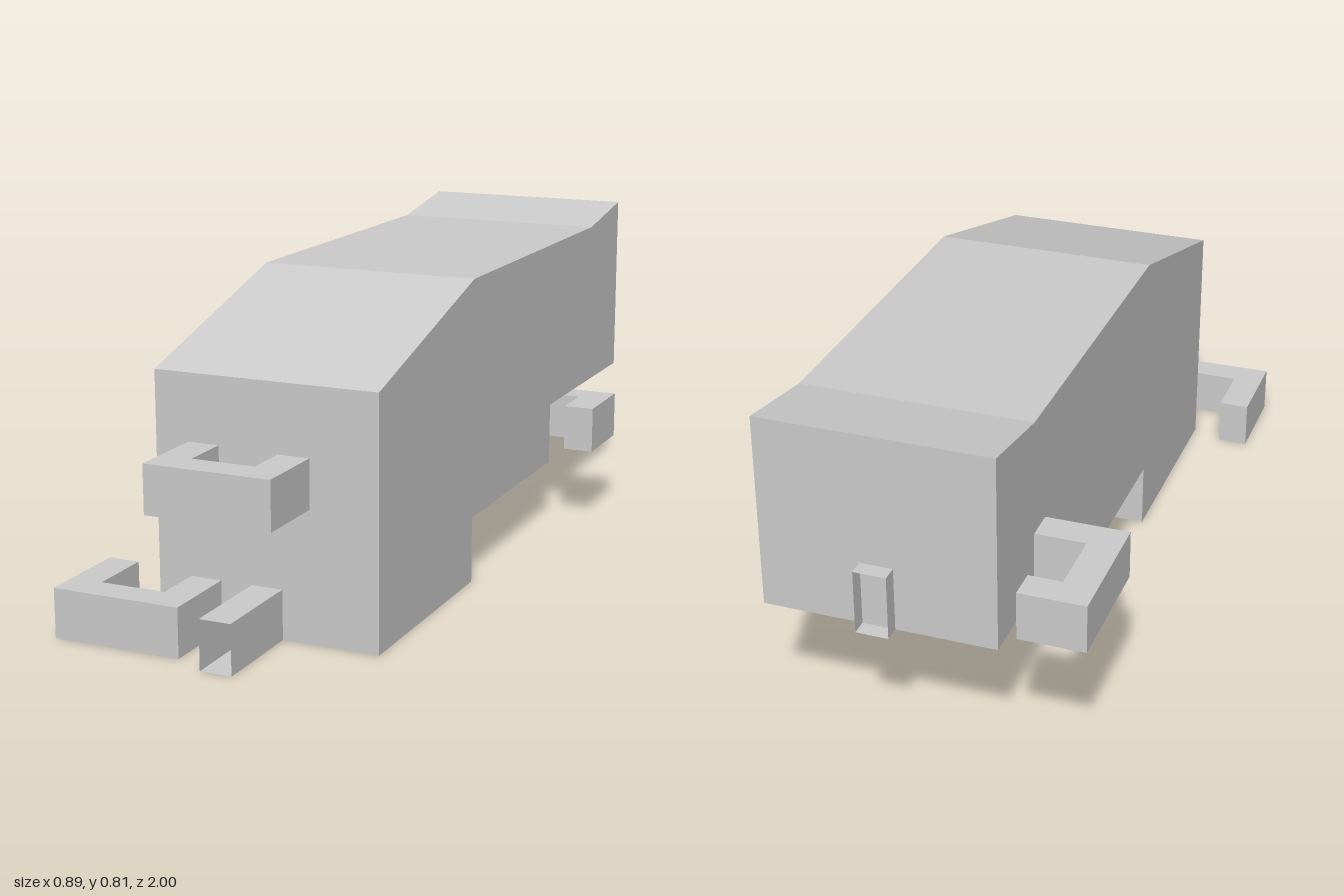
import * as THREE from 'three';

const material = new THREE.MeshStandardMaterial({ color: 0xcccccc, flatShading: true, side: THREE.DoubleSide });

function add(group, name, geometry) {
  const mesh = new THREE.Mesh(geometry, material);
  mesh.name = name;
  group.add(mesh);
  return mesh;
}

// Extrude an outline of [x, -z] points upward from y0 to y1
function slab(points, y0, y1, holes = []) {
  const shape = new THREE.Shape(points.map(p => new THREE.Vector2(p[0], -p[1])));
  const g = new THREE.ExtrudeGeometry(shape, { depth: y1 - y0, bevelEnabled: false });
  return g.rotateX(-Math.PI / 2).translate(0, y0, 0);
}

// Hook lying flat: an arm from the wall, a crossbar and a free tip.
// xArm and xTip are the outer edges; t is the bar thickness.
function hook(xArm, xTip, zWall, zBar, zTip, y0, y1, t = 0.08) {
  const sx = Math.sign(xArm - xTip) * t;
  const zi = zBar + Math.sign(zWall - zBar) * t;
  return slab([
    [xArm, zWall], [xArm, zBar], [xTip, zBar], [xTip, zTip],
    [xTip + sx, zTip], [xTip + sx, zi], [xArm - sx, zi], [xArm - sx, zWall]
  ], y0, y1);
}

// Four-walled socket, open at both ends along z
function socket(x0, x1, y0, y1, z0, z1) {
  const g = new THREE.CylinderGeometry(Math.SQRT1_2, Math.SQRT1_2, 1, 4, 1, true);
  g.rotateY(Math.PI / 4).rotateX(Math.PI / 2);
  g.scale(x1 - x0, y1 - y0, z1 - z0);
  return g.translate((x0 + x1) / 2, (y0 + y1) / 2, (z0 + z1) / 2);
}

export function createModel() {
  const model = new THREE.Group();
  model.name = 'steppedBody';

  // Main body: side profile in (z, y), extruded across x
  const profile = [
    [0.75, 0], [0.75, 0.615], [0.185, 0.775], [-0.715, 0.775], [-0.96, 0.815],
    [-0.96, 0.33], [-0.39, 0.33], [-0.39, 0.168], [0.185, 0.168], [0.185, 0]
  ];
  const side = new THREE.Shape(profile.map(([z, y]) => new THREE.Vector2(-z, y)));
  const body = new THREE.ExtrudeGeometry(side, { depth: 0.57, bevelEnabled: false });
  body.rotateY(Math.PI / 2).translate(-0.245, 0, 0);
  add(model, 'body', body);

  // Hooks on the front face
  add(model, 'upperFrontHook', hook(-0.16, 0.16, 0.75, 0.955, 0.765, 0.33, 0.45));
  add(model, 'lowerFrontHook', hook(-0.08, -0.408, 0.75, 0.955, 0.71, 0, 0.123));

  // Hooks on the walls of the underside steps
  add(model, 'middleStepHook', hook(0.2, -0.12, 0.185, -0.018, 0.17, 0, 0.166));
  add(model, 'leftStepHook', hook(0.125, 0.445, -0.39, -0.595, -0.398, 0.207, 0.328));
  add(model, 'rightStepHook', hook(-0.045, -0.367, -0.39, -0.595, -0.433, 0.207, 0.328));

  // Hook on the right side of the body
  add(model, 'rightSideHook', slab([
    [-0.245, -0.64], [-0.45, -0.64], [-0.45, -0.96], [-0.288, -0.96],
    [-0.288, -0.885], [-0.37, -0.885], [-0.37, -0.718], [-0.245, -0.718]
  ], 0.37, 0.49));

  // Open sockets on the front, the step and the back
  add(model, 'frontSocket', socket(0, 0.08, 0, 0.123, 0.75, 1));
  add(model, 'stepSocket', socket(0, 0.08, 0.168, 0.33, -0.426, -0.39));
  add(model, 'backSocket', socket(0, 0.08, 0.33, 0.49, -1, -0.96));

  return model;
}
